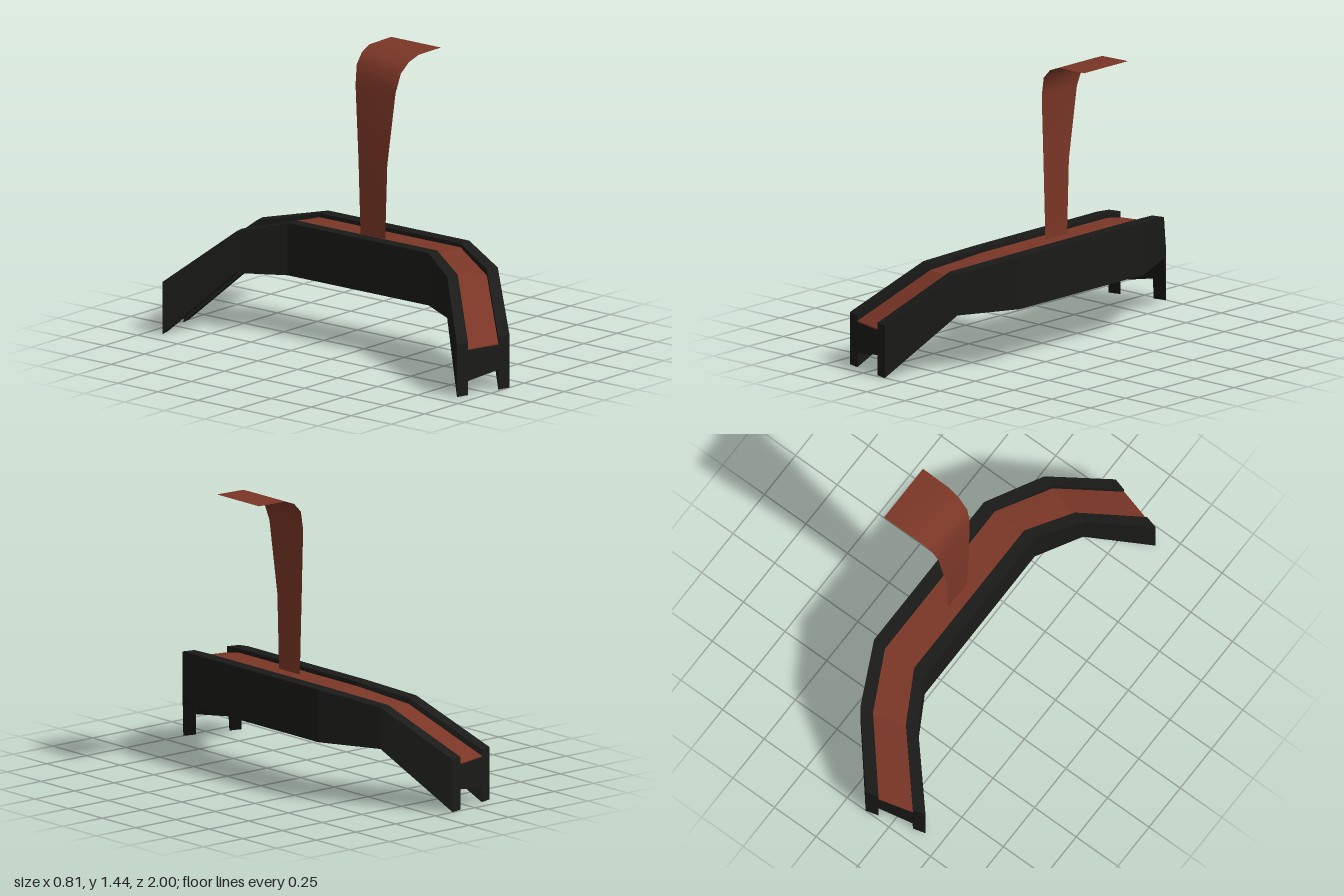
import * as THREE from 'three';

const black = new THREE.MeshStandardMaterial({ color: 0x1a1a18, flatShading: true });
const brown = new THREE.MeshStandardMaterial({ color: 0x7a3626, flatShading: true });
const sheet = new THREE.MeshStandardMaterial({ color: 0x7a3626, side: THREE.DoubleSide });

// Stations of the bent beam: left-side and right-side plan points, rail and deck heights
const half = [
  { a: [-0.41, 0.92], b: [-0.11, 1.0], top: 0.26, bottom: 0, deck: 0.23, under: [0.07, 0.1] },
  { a: [-0.17, 0.66], b: [0.12, 0.735], top: 0.505, bottom: 0.3, deck: 0.475, under: [0.36, 0.36] },
  { a: [-0.045, 0.44], b: [0.26, 0.44], top: 0.56, bottom: 0.3, deck: 0.54, under: [0.36, 0.36] },
];
const flip = (s) => ({ ...s, a: [s.a[0], -s.a[1]], b: [s.b[0], -s.b[1]] });
const stations = [...half, ...half.slice().reverse().map(flip)];

// Solid with a four-cornered section at every station, spanning fractions t0..t1 of the width
function loft(name, t0, t1, heights, material) {
  const rings = stations.map((s) => {
    const at = (t, y) => [s.a[0] + (s.b[0] - s.a[0]) * t, y, s.a[1] + (s.b[1] - s.a[1]) * t];
    const [top, low0, low1] = heights(s);
    return [at(t0, low0), at(t1, low1), at(t1, top), at(t0, top)];
  });
  const pos = [];
  const quad = (p, q, r, s) => pos.push(...p, ...q, ...r, ...p, ...r, ...s);
  for (let i = 0; i < rings.length - 1; i++) {
    const f = rings[i], g = rings[i + 1];
    for (let j = 0; j < 4; j++) {
      const k = (j + 1) % 4;
      quad(f[j], g[j], g[k], f[k]);
    }
  }
  const first = rings[0], last = rings[rings.length - 1];
  quad(...first);
  quad(last[3], last[2], last[1], last[0]);
  const geometry = new THREE.BufferGeometry();
  geometry.setAttribute('position', new THREE.Float32BufferAttribute(pos, 3));
  geometry.computeVertexNormals();
  const mesh = new THREE.Mesh(geometry, material);
  mesh.name = name;
  return mesh;
}

// Thin flaring strip that rises from the deck and curls over towards +x
function curledStrip() {
  const rows = [ // x, y, half width
    [0.08, 0.535, 0.077], [0.08, 0.91, 0.09], [0.1, 1.27, 0.125], [0.125, 1.365, 0.138],
    [0.175, 1.413, 0.147], [0.24, 1.437, 0.154], [0.405, 1.44, 0.156],
  ];
  const geometry = new THREE.PlaneGeometry(1, 1, 1, rows.length - 1);
  const p = geometry.attributes.position;
  rows.forEach(([x, y, w], i) => {
    p.setXYZ(2 * i, x, y, -0.012 - w);
    p.setXYZ(2 * i + 1, x, y, -0.012 + w);
  });
  geometry.computeVertexNormals();
  const mesh = new THREE.Mesh(geometry, sheet);
  mesh.name = 'curledStrip';
  return mesh;
}

export function createModel() {
  const group = new THREE.Group();
  group.name = 'archedBeamWithStrip';
  const rail = (s) => [s.top, s.bottom, s.bottom];
  const inner = 0.21, outer = 0.785;
  group.add(
    loft('innerRail', 0, inner, rail, black),
    loft('outerRail', outer, 1, rail, black),
    loft('web', inner, outer, (s) => [s.deck - 0.006, ...s.under], black),
    loft('deck', inner, outer, (s) => [s.deck, s.deck - 0.006, s.deck - 0.006], brown),
    curledStrip(),
  );
  return group;
}
